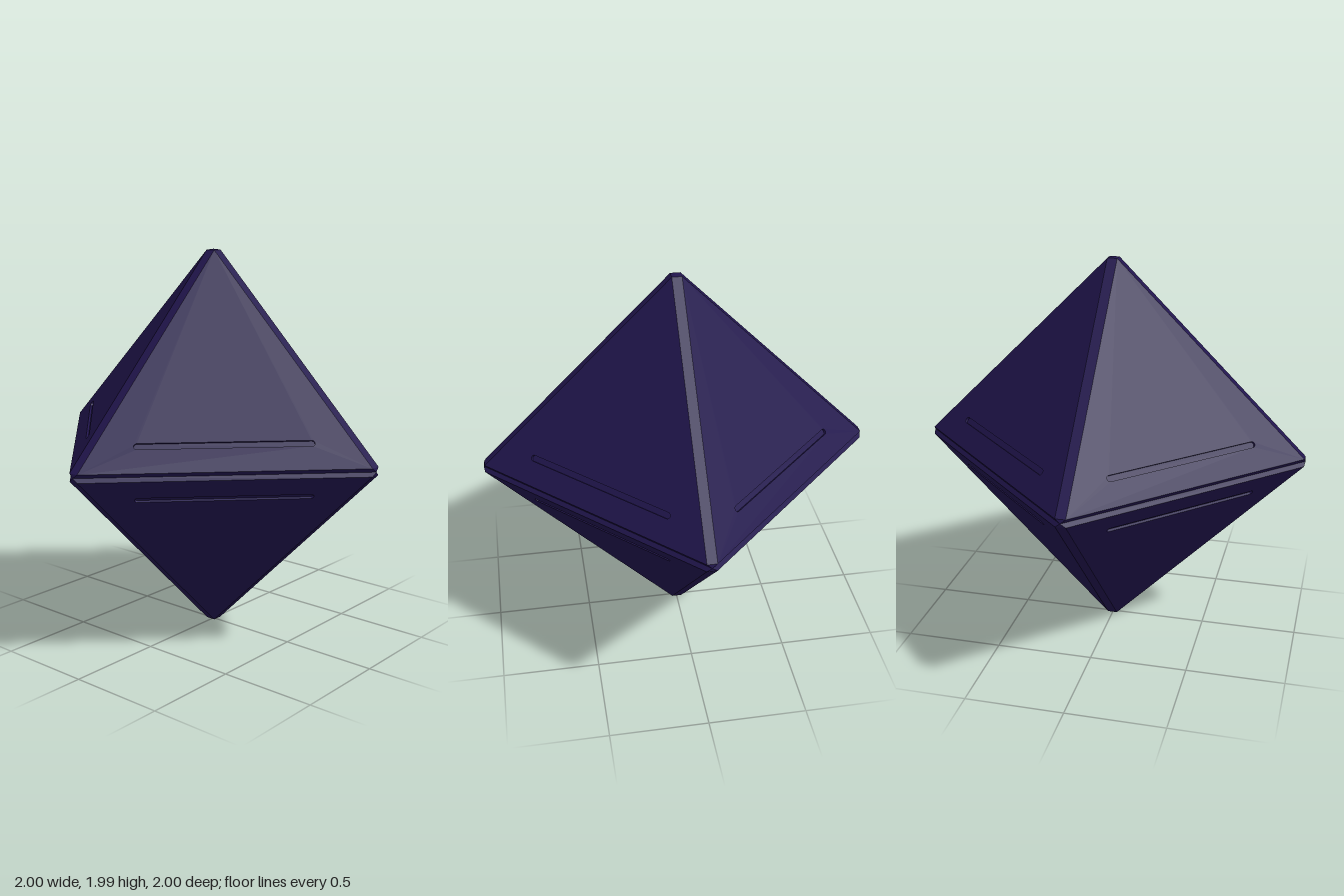
import * as THREE from 'three';

const BEVEL = 0.025;  // half width of the sloping edge bevels
const RIM = 0.02;     // half height of the equator groove
const SUM = 1.04;     // x + y + z on a face plane
const TOP = SUM - 2 * BEVEL;
const OUT = SUM - RIM - BEVEL;
const DEPTH = 0.012;  // slot depth

const material = new THREE.MeshStandardMaterial({ color: 0x21154d, flatShading: true });

// Face frame: u along the equator, v up the slope, n outwards
const U = new THREE.Vector3(1, 0, -1).normalize();
const V = new THREE.Vector3(-1, 2, -1).normalize();
const N = new THREE.Vector3(1, 1, 1).normalize();
const flat = (x, y, z) => {
  const p = new THREE.Vector3(x, y, z);
  return new THREE.Vector2(p.dot(U), p.dot(V));
};

// Rounded slot outline, parallel to the equator
function pill(PathType) {
  const half = 0.425, r = 0.015;
  const mid = (SUM - 0.13) / 2;
  const v = flat(mid, 0.13, mid).y;
  const path = new PathType();
  path.absarc(half - r, v, r, -Math.PI / 2, Math.PI / 2, false);
  path.absarc(-half + r, v, r, Math.PI / 2, Math.PI * 1.5, false);
  path.closePath();
  return path;
}

function panelGeometry() {
  const shape = new THREE.Shape([
    flat(OUT, RIM, BEVEL), flat(BEVEL, TOP, BEVEL), flat(BEVEL, RIM, OUT),
  ]);
  shape.holes.push(pill(THREE.Path));
  return new THREE.ExtrudeGeometry(shape, { depth: DEPTH, bevelEnabled: false, curveSegments: 8 });
}

// Bevel, groove wall, tip and cap for one quarter of the upper half
function edgeGeometry() {
  const X = [1, 0, 0], Z = [0, 0, 1], P = [0, TOP + 0.005, 0];
  const A = [OUT, RIM, BEVEL], A2 = [OUT, RIM, -BEVEL], B = [BEVEL, RIM, OUT];
  const T = [BEVEL, TOP, BEVEL], T2 = [BEVEL, TOP, -BEVEL];
  const triangles = [
    X, A, B, X, B, Z,        // groove wall
    A, A2, T2, A, T2, T,     // sloping bevel
    X, A2, A,                // tip
    P, T, T2,                // apex cap
  ];
  const g = new THREE.BufferGeometry();
  g.setAttribute('position', new THREE.Float32BufferAttribute(triangles.flat(), 3));
  g.computeVertexNormals();
  return g;
}

export function createModel() {
  const model = new THREE.Group();
  model.name = 'octahedron';
  const panelGeo = panelGeometry();
  const floorGeo = new THREE.ShapeGeometry(pill(THREE.Shape), 8);
  const edgeGeo = edgeGeometry();
  const add = (parent, geometry, name) => {
    const mesh = new THREE.Mesh(geometry, material);
    mesh.name = name;
    parent.add(mesh);
  };

  for (const name of ['upperHalf', 'lowerHalf']) {
    const half = new THREE.Group();
    half.name = name;
    half.position.y = 1;
    if (name === 'lowerHalf') half.rotation.x = Math.PI;
    for (let i = 0; i < 4; i++) {
      const quarter = new THREE.Group();
      quarter.name = 'quarter';
      quarter.rotation.y = i * Math.PI / 2;

      // Slotted triangular panel laid on the face plane
      const face = new THREE.Group();
      face.name = 'face';
      face.quaternion.setFromRotationMatrix(new THREE.Matrix4().makeBasis(U, V, N));
      face.position.copy(N).multiplyScalar(SUM / Math.sqrt(3) - DEPTH);
      add(face, panelGeo, 'facePanel');
      add(face, floorGeo, 'slotFloor');

      quarter.add(face);
      add(quarter, edgeGeo, 'edgeTrim');
      half.add(quarter);
    }
    model.add(half);
  }
  return model;
}
